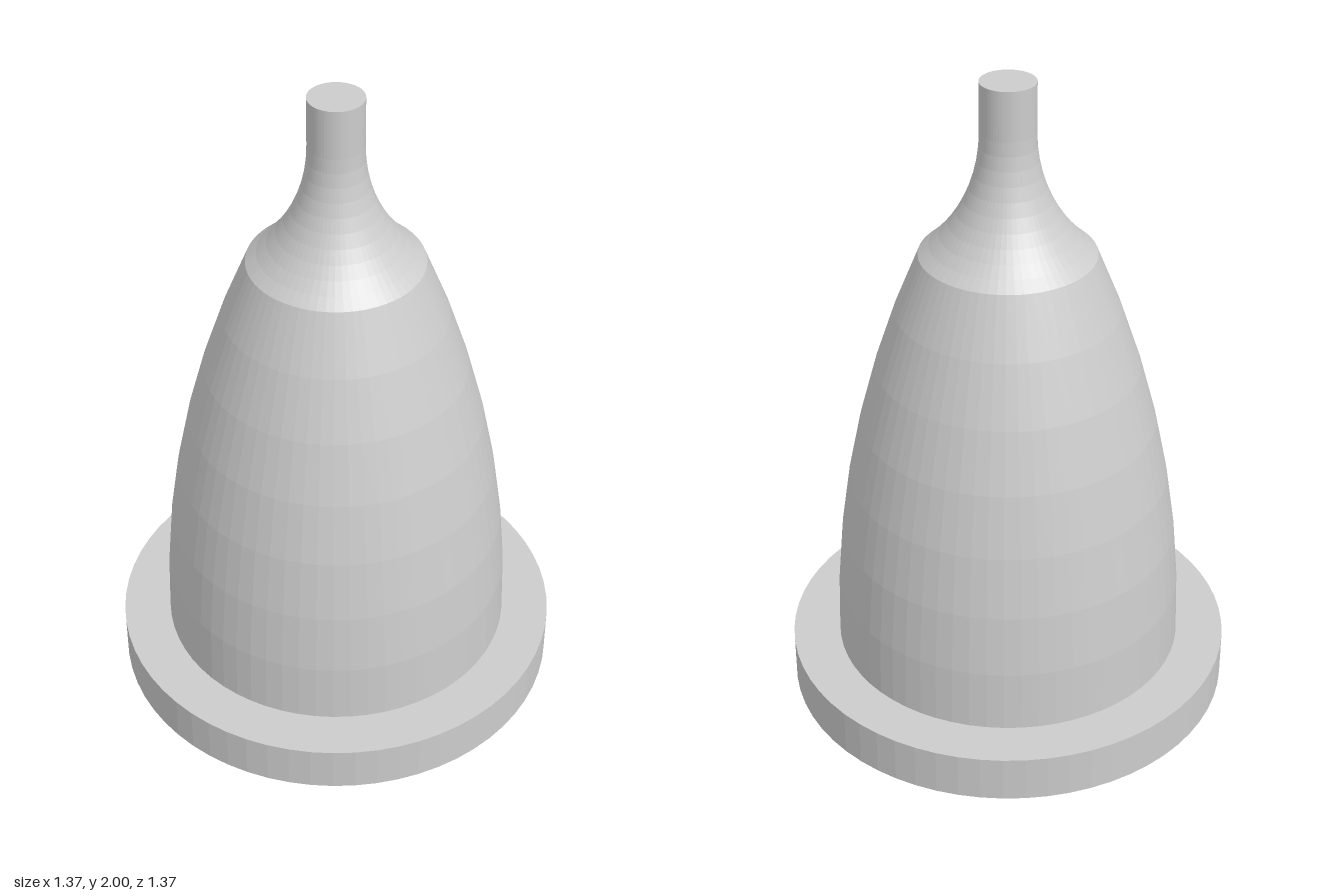
import * as THREE from 'three';

const SIDES = 64;

// Points on a circular arc that is vertical at (r0, y0) and ends at (r1, y1)
function arc(r0, y0, r1, y1, steps) {
  const dr = r1 - r0, dy = y1 - y0;
  const R = (dr * dr + dy * dy) / (2 * Math.abs(dr));
  const end = Math.asin(Math.abs(dy) / R);
  return Array.from({ length: steps + 1 }, (_, i) => {
    const a = end * i / steps;
    return new THREE.Vector2(
      r0 + Math.sign(dr) * R * (1 - Math.cos(a)),
      y0 + Math.sign(dy) * R * Math.sin(a));
  });
}

export function createModel() {
  const group = new THREE.Group();
  const grey = new THREE.MeshStandardMaterial({ color: 0xcccccc, flatShading: true });
  grey.name = 'light grey';

  const add = (name, geometry, y = 0) => {
    const mesh = new THREE.Mesh(geometry, grey);
    mesh.name = name;
    mesh.position.y = y;
    group.add(mesh);
  };

  // Round base plate
  add('base', new THREE.CylinderGeometry(0.687, 0.687, 0.147, SIDES), 0.0735);

  // Bulging body that narrows upwards
  add('body', new THREE.LatheGeometry(arc(0.54, 0.147, 0.262, 1.47, 7), SIDES));

  // Concave shoulder flowing into the stem
  add('shoulder', new THREE.LatheGeometry(arc(0.082, 1.85, 0.262, 1.47, 10).reverse(), SIDES));

  // Straight stem with a flat top
  add('stem', new THREE.CylinderGeometry(0.082, 0.082, 0.15, SIDES), 1.925);

  return group;
}
